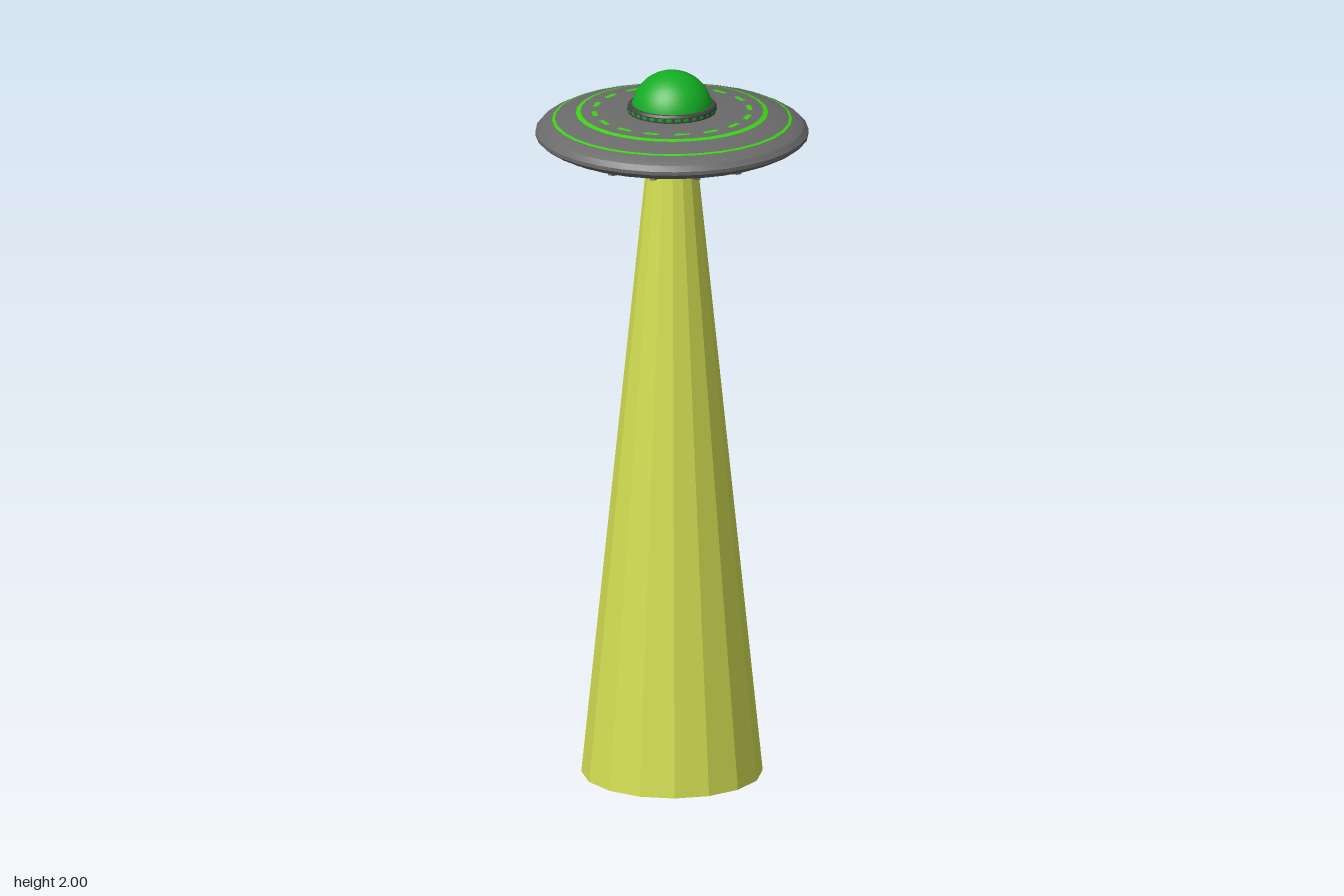
import * as THREE from 'three';
import { toCreasedNormals } from 'three/addons/utils/BufferGeometryUtils.js';

const SIDES = 32;
const STEP = (Math.PI * 2) / SIDES;

const paint = (color, extra = {}) => new THREE.MeshStandardMaterial({ color, ...extra });
const hull = paint(0x6b6b6b);
const dark = paint(0x454545);
const glow = paint(0x37d60f);
const domeGreen = paint(0x14ad24);
const beamYellow = paint(0xd3de52, { flatShading: true, side: THREE.DoubleSide });

// Saucer profiles as [radius, height]
const under = [[0, 1.738], [0.085, 1.738], [0.095, 1.75], [0.175, 1.775], [0.34, 1.802], [0.36, 1.812], [0.372, 1.822]];
const upper = [[0.372, 1.832], [0.36, 1.846], [0.34, 1.858], [0.308, 1.868], [0.25, 1.885], [0.12, 1.889], [0, 1.89]];

// Height of a profile at a radius
function heightAt(profile, r) {
  for (let i = 1; i < profile.length; i++) {
    const [a, b] = [profile[i - 1], profile[i]];
    if ((r - a[0]) * (r - b[0]) <= 0 && a[0] !== b[0]) {
      return a[1] + ((b[1] - a[1]) * (r - a[0])) / (b[0] - a[0]);
    }
  }
  return profile[0][1];
}

function lathe(points, segments = SIDES, start = 0, length = Math.PI * 2) {
  const pts = points.map(([x, y]) => new THREE.Vector2(x, y));
  return toCreasedNormals(new THREE.LatheGeometry(pts, segments, start, length), 0.3);
}

export function createModel() {
  const model = new THREE.Group();
  const add = (name, geometry, material, parent = model) => {
    const mesh = new THREE.Mesh(geometry, material);
    mesh.name = name;
    parent.add(mesh);
    return mesh;
  };
  const group = (name) => {
    const g = new THREE.Group();
    g.name = name;
    model.add(g);
    return g;
  };

  // Saucer body with its blunt rim
  add('saucerHull', lathe([...under, ...upper]), hull);

  // Bands lying just above the upper skin, from outer to inner radius
  const topBand = (outer, inner, lift) => [
    [outer, heightAt(upper, outer) + lift],
    [inner, heightAt(upper, inner) + lift],
  ];
  add('outerLightRing', lathe(topBand(0.327, 0.319, 0.002)), glow);
  add('innerLightRing', lathe(topBand(0.262, 0.249, 0.002)), glow);

  // Dashed ring of lights: every second segment
  const topLights = group('topLights');
  const lowerLights = group('lowerLights');
  for (let i = 0; i < SIDES / 2; i++) {
    add('topLight', lathe(topBand(0.22, 0.206, 0.002), 1, 2 * i * STEP, STEP), glow, topLights);
    const low = [0.235, 0.255].map((r) => [r, heightAt(under, r) - 0.002]);
    add('lowerLight', lathe(low, 1, (2 * i - 0.5) * STEP, STEP), glow, lowerLights);
  }

  // Dome, its collar and the small lights around the collar
  add('domeCollar', lathe([[0.121, 1.886], [0.121, 1.904], [0.117, 1.91], [0.108, 1.91]]), dark);
  const collarLights = group('collarLights');
  for (let i = 0; i < SIDES; i++) {
    add('collarLight', lathe([[0.1225, 1.894], [0.1225, 1.902]], 1, (i + 0.2) * STEP, STEP * 0.6), domeGreen, collarLights);
  }
  const dome = add('dome', new THREE.SphereGeometry(0.112, 32, 16, 0, Math.PI * 2, 0, Math.PI / 2), domeGreen);
  dome.position.y = 1.888;

  // Radial ribs and short inner slats under the saucer
  const spokes = (name, count, offset, r0, r1, width, depth, material) => {
    const set = group(name + 's');
    const y0 = heightAt(under, r0);
    const y1 = heightAt(under, r1);
    for (let i = 0; i < count; i++) {
      const arm = new THREE.Group();
      arm.rotation.y = offset + (i * Math.PI * 2) / count;
      set.add(arm);
      const bar = add(name, new THREE.BoxGeometry(Math.hypot(r1 - r0, y1 - y0), depth, width), material, arm);
      bar.position.set((r0 + r1) / 2, (y0 + y1) / 2, 0);
      bar.rotation.z = Math.atan2(y1 - y0, r1 - r0);
    }
  };
  spokes('rib', 16, STEP, 0.15, 0.315, 0.014, 0.018, hull);
  spokes('slat', 32, 0, 0.095, 0.135, 0.007, 0.012, dark);

  // Ring around the beam outlet
  add('beamOutlet', lathe([[0.066, 1.732], [0.08, 1.732], [0.085, 1.742]]), dark);

  // Open light beam
  const beam = add('lightBeam', new THREE.CylinderGeometry(0.07, 0.247, 1.735, 16, 1, true), beamYellow);
  beam.position.y = 1.735 / 2;

  return model;
}
